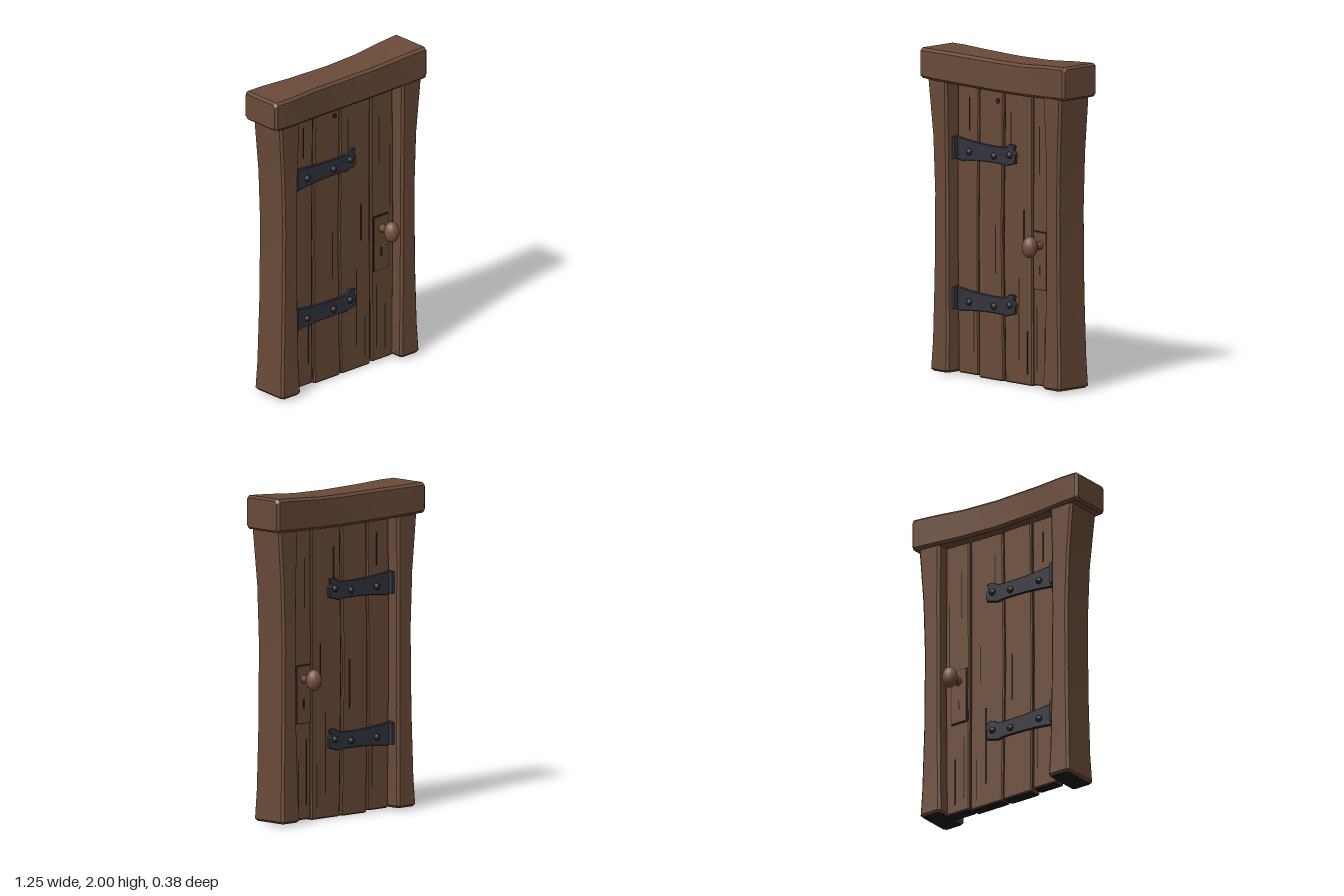
import * as THREE from 'three';
import { toCreasedNormals } from 'three/addons/utils/BufferGeometryUtils.js';

const mat = (name, color, side = THREE.FrontSide) => {
  const m = new THREE.MeshStandardMaterial({ color, side });
  m.name = name;
  return m;
};

// Chamfered beam lofted through stations [t, u0, u1, v0, v1].
// axis 'y': t=y, u=z, v=x.  axis 'x': t=x, u=y, v=z.
function beam(stations, c, axis) {
  const first = stations[0], last = stations[stations.length - 1];
  const inset = ([t, u0, u1, v0, v1], d) => [t + d, u0, u1, v0, v1];
  const shrink = ([t, u0, u1, v0, v1]) => [t, u0 + c * 0.8, u1 - c * 0.8, v0 + c * 0.8, v1 - c * 0.8];
  const rings = [shrink(first), inset(first, c), ...stations.slice(1, -1), inset(last, -c), shrink(last)];
  const pos = [], idx = [];
  const put = (t, u, v) => (axis === 'y' ? pos.push(v, t, u) : pos.push(t, u, v));
  for (const [t, u0, u1, v0, v1] of rings) {
    put(t, u1, v0 + c); put(t, u1, v1 - c); put(t, u1 - c, v1); put(t, u0 + c, v1);
    put(t, u0, v1 - c); put(t, u0, v0 + c); put(t, u0 + c, v0); put(t, u1 - c, v0);
  }
  const end = (rings.length - 1) * 8;
  for (let j = 1; j < 7; j++) idx.push(0, j + 1, j);
  const capCount = idx.length;
  for (let i = 0; i < rings.length - 1; i++) {
    for (let j = 0; j < 8; j++) {
      const a = i * 8 + j, b = i * 8 + (j + 1) % 8;
      idx.push(a, b, b + 8, a, b + 8, a + 8);
    }
  }
  for (let j = 1; j < 7; j++) idx.push(end, end + j, end + j + 1);
  const g = new THREE.BufferGeometry();
  g.setAttribute('position', new THREE.Float32BufferAttribute(pos, 3));
  g.setIndex(idx);
  g.addGroup(0, capCount, 1);
  g.addGroup(capCount, idx.length - capCount, 0);
  return toCreasedNormals(g, 0.45);
}

export function createModel() {
  const wood = mat('brown wood', 0x6a4b38);
  const knobWood = mat('knob wood', 0x755340);
  const iron = mat('dark iron', 0x33353d);
  const rivetIron = mat('rivet iron', 0x24252b);
  const groove = mat('dark groove', 0x2c1e16);
  const underside = mat('black underside', 0x1a1a1e);
  const model = new THREE.Group();
  const add = (parent, name, geo, material, x = 0, y = 0, z = 0) => {
    const m = new THREE.Mesh(geo, material);
    m.name = name;
    m.position.set(x, y, z);
    parent.add(m);
    return m;
  };

  // Lintel, pinched in the middle and tilted up at the right
  add(model, 'lintel', beam([
    [-0.625, 1.795, 1.98, -0.135, 0.15],
    [-0.5, 1.79, 1.98, -0.135, 0.152],
    [-0.3, 1.782, 1.977, -0.12, 0.133],
    [0, 1.777, 1.973, -0.113, 0.124],
    [0.25, 1.78, 1.977, -0.12, 0.127],
    [0.45, 1.788, 1.992, -0.132, 0.135],
    [0.62, 1.795, 2.0, -0.138, 0.143],
  ], 0.016, 'x'), [wood, wood]);

  // Side posts, flared at top and bottom
  const post = (name, rows) => add(model, name, beam(rows.map(([y, x0, x1, z0, z1]) => [y, z0, z1, x0, x1]), 0.014, 'y'), [wood, underside]);
  post('rightPost', [
    [0.015, -0.553, -0.4, -0.125, 0.13], [0.2, -0.545, -0.405, -0.118, 0.122], [0.6, -0.535, -0.41, -0.112, 0.118],
    [1.1, -0.53, -0.413, -0.11, 0.118], [1.45, -0.542, -0.413, -0.112, 0.122], [1.81, -0.572, -0.408, -0.115, 0.134],
  ]);
  post('leftPost', [
    [0.015, 0.415, 0.567, -0.125, 0.13], [0.2, 0.422, 0.56, -0.118, 0.122], [0.6, 0.43, 0.55, -0.112, 0.118],
    [1.1, 0.432, 0.546, -0.11, 0.118], [1.45, 0.432, 0.556, -0.112, 0.122], [1.81, 0.425, 0.582, -0.115, 0.134],
  ]);

  // Planks over a dark core that shows in the gaps
  const door = new THREE.Group();
  door.name = 'door';
  model.add(door);
  add(door, 'grooveCore', new THREE.BoxGeometry(0.84, 1.76, 0.05), groove, 0.01, 0.91, 0);
  const seams = [
    [-0.402, -0.412, -0.408], [-0.22, -0.225, -0.215], [0.002, -0.012, 0.0],
    [0.25, 0.247, 0.248], [0.428, 0.436, 0.43],
  ];
  for (let i = 0; i < 4; i++) {
    const a = seams[i], b = seams[i + 1], d = 0.04 + (i % 2) * 0.004, g = 0.005;
    add(door, 'plank', beam([0.012 - (i === 1 || i === 2 ? 0.01 : 0), 0.9, 1.79].map((y, k) => [y, -d, d, a[k] + g, b[k] - g]), 0.007, 'y'), [wood, underside]);
  }

  // Grain cracks on planks: x, centre y, length
  const cracks = [
    [0.13, 0.4, 0.5], [0.06, 1.5, 0.3], [0.17, 0.95, 0.24], [0.2, 0.2, 0.26], [0.29, 0.3, 0.4],
    [0.36, 0.22, 0.3], [0.31, 1.45, 0.3], [0.4, 1.2, 0.4], [-0.26, 0.3, 0.3], [-0.07, 0.8, 0.3], [-0.3, 1.6, 0.2],
  ];

  // Strap outline with a lobed tip
  const strapShape = new THREE.Shape();
  strapShape.moveTo(-0.4, 0.075);
  strapShape.lineTo(-0.37, 0.066);
  strapShape.quadraticCurveTo(-0.15, 0.04, 0.03, 0.05);
  strapShape.quadraticCurveTo(0.06, 0.085, 0.105, 0.07);
  strapShape.lineTo(0.095, 0.04);
  strapShape.lineTo(0.112, 0.02);
  strapShape.lineTo(0.108, -0.035);
  strapShape.lineTo(0.06, -0.048);
  strapShape.quadraticCurveTo(0.03, -0.06, 0, -0.05);
  strapShape.quadraticCurveTo(-0.2, -0.045, -0.36, -0.068);
  strapShape.lineTo(-0.4, -0.062);
  const strapGeo = new THREE.ExtrudeGeometry(strapShape, { depth: 0.014, bevelEnabled: true, bevelSize: 0.003, bevelThickness: 0.003, bevelSegments: 1, curveSegments: 6 });
  const rivetGeo = new THREE.SphereGeometry(0.022, 10, 5, 0, Math.PI * 2, 0, Math.PI / 2).rotateX(Math.PI / 2);
  const knobGeo = new THREE.SphereGeometry(1, 16, 12).scale(0.048, 0.066, 0.047);

  // Fittings for both faces; the back is mirrored in z by a half turn with x negated
  for (const s of [1, -1]) {
    const face = new THREE.Group();
    face.name = s > 0 ? 'frontFittings' : 'backFittings';
    face.scale.z = s;
    model.add(face);

    for (const [x, y, len] of cracks) {
      const z = (x > 0 && x < 0.25) || x < -0.22 ? 0.0405 : 0.0445;
      add(face, 'grainCrack', new THREE.BoxGeometry(0.007, len, 0.003), groove, x, y, z);
    }

    for (const y of [1.382, 0.465]) {
      const hinge = new THREE.Group();
      hinge.name = 'strapHinge';
      hinge.position.set(0, y, 0.041);
      face.add(hinge);
      add(hinge, 'strap', strapGeo, iron);
      add(hinge, 'strapFlange', new THREE.BoxGeometry(0.022, 0.135, 0.05), iron, -0.394, 0.005, 0.02);
      for (const x of [-0.285, -0.07, 0.065]) add(hinge, 'rivet', rivetGeo, rivetIron, x, x > 0 ? 0.012 : -0.01, 0.015);
    }

    // Knob, stem and keyhole plate
    add(face, 'keyholePlateEdge', new THREE.BoxGeometry(0.125, 0.36, 0.008), groove, 0.322, 0.777, 0.044);
    add(face, 'keyholePlate', new THREE.BoxGeometry(0.11, 0.345, 0.016), wood, 0.322, 0.777, 0.046);
    add(face, 'keyhole', new THREE.BoxGeometry(0.012, 0.055, 0.003), groove, 0.322, 0.72, 0.0545);
    add(face, 'knobStem', new THREE.CylinderGeometry(0.02, 0.026, 0.08, 12).rotateX(Math.PI / 2), wood, 0.325, 0.872, 0.085);
    add(face, 'knob', knobGeo, knobWood, 0.325, 0.872, 0.142);
  }

  // Small knot hole near the top of the front
  add(model, 'knotHole', new THREE.CylinderGeometry(0.018, 0.018, 0.004, 7).rotateX(Math.PI / 2), groove, -0.05, 1.71, 0.045);

  return model;
}
